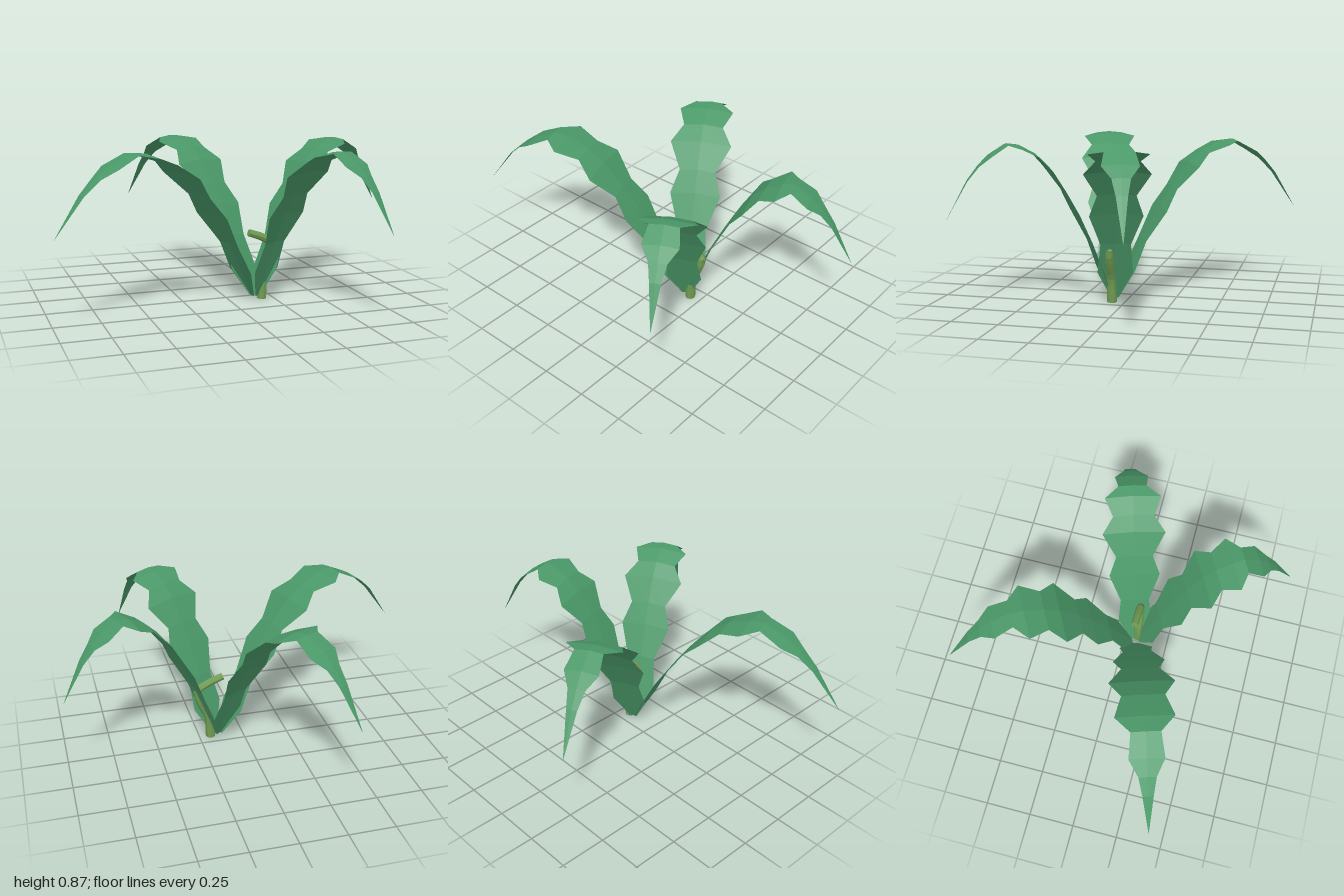
import * as THREE from 'three';

// Leaf stations: distance along the ground, height, half width
const STATIONS = [
  [0, 0.02, 0.02], [0.08, 0.18, 0.095], [0.16, 0.34, 0.08], [0.27, 0.51, 0.14],
  [0.35, 0.62, 0.10], [0.46, 0.745, 0.17], [0.55, 0.81, 0.11], [0.67, 0.857, 0.15],
  [0.75, 0.865, 0.075], [0.87, 0.81, 0.09], [0.95, 0.755, 0.045], [1.03, 0.68, 0.028],
  [1.18, 0.48, 0.001],
];

// Arching serrated blade with a slightly raised midrib, from base to tip on the ground plan
function leafGeometry([bx, bz], [tx, tz]) {
  const length = Math.hypot(tx - bx, tz - bz);
  const dx = (tx - bx) / length, dz = (tz - bz) / length;
  const points = [], index = [];
  STATIONS.forEach(([s, y, w], i) => {
    const d = (s / 1.18) * length;
    for (const side of [-1, 0, 1]) {
      const droop = side ? w * 0.1 : 0;
      points.push(bx + dx * d - dz * w * side, y - droop, bz + dz * d + dx * w * side);
    }
    if (i === 0) return;
    for (let k = 0; k < 2; k++) {
      const a = (i - 1) * 3 + k, b = a + 3;
      index.push(a, a + 1, b, a + 1, b + 1, b);
    }
  });
  const geometry = new THREE.BufferGeometry();
  geometry.setAttribute('position', new THREE.Float32BufferAttribute(points, 3));
  geometry.setIndex(index);
  geometry.computeVertexNormals();
  return geometry;
}

// Hooked young shoot: capped tube that thins towards its end
function shootGeometry() {
  const path = new THREE.CatmullRomCurve3([
    [0.185, 0, 0.07], [0.195, 0.13, 0.07], [0.24, 0.23, 0.067],
    [0.255, 0.3, 0.065], [0.19, 0.345, 0.065], [0.11, 0.375, 0.065],
  ].map((p) => new THREE.Vector3(...p)));
  const rings = 14, sides = 8, points = [], index = [];
  const frames = path.computeFrenetFrames(rings);
  for (let i = 0; i <= rings; i++) {
    const t = i / rings, c = path.getPointAt(t), r = 0.028 - 0.008 * t;
    for (let k = 0; k < sides; k++) {
      const a = (k / sides) * Math.PI * 2;
      const p = c.clone()
        .addScaledVector(frames.normals[i], Math.cos(a) * r)
        .addScaledVector(frames.binormals[i], Math.sin(a) * r);
      points.push(p.x, Math.max(0, p.y), p.z);
      if (i === rings) continue;
      const m = i * sides + k, n = i * sides + ((k + 1) % sides);
      index.push(m, n, m + sides, n, n + sides, m + sides);
    }
  }
  // End caps
  const last = rings * sides;
  for (let k = 1; k < sides - 1; k++) index.push(0, k + 1, k, last, last + k, last + k + 1);
  const geometry = new THREE.BufferGeometry();
  geometry.setAttribute('position', new THREE.Float32BufferAttribute(points, 3));
  geometry.setIndex(index);
  geometry.computeVertexNormals();
  return geometry;
}

export function createModel() {
  const leafGreen = new THREE.MeshStandardMaterial({ color: 0x4a9868, flatShading: true, side: THREE.DoubleSide });
  leafGreen.name = 'leaf green';
  const stemGreen = new THREE.MeshStandardMaterial({ color: 0x6f9a52, flatShading: true, side: THREE.DoubleSide });
  stemGreen.name = 'stem green';

  const group = new THREE.Group();
  group.name = 'fern';
  const add = (name, geometry, material) => {
    const mesh = new THREE.Mesh(geometry, material);
    mesh.name = name;
    group.add(mesh);
  };

  // Four leaves, each given by base and tip as [x, z]
  const leaves = {
    rightLeaf: [[0.13, 0.065], [-1, 0.42]],
    leftLeaf: [[0.16, 0.06], [1, -0.2]],
    backLeaf: [[0.14, 0.05], [-0.35, -0.85]],
    frontLeaf: [[0.16, 0.08], [0.57, 0.84]],
  };
  for (const [name, [base, tip]] of Object.entries(leaves)) add(name, leafGeometry(base, tip), leafGreen);

  add('shoot', shootGeometry(), stemGreen);
  return group;
}
